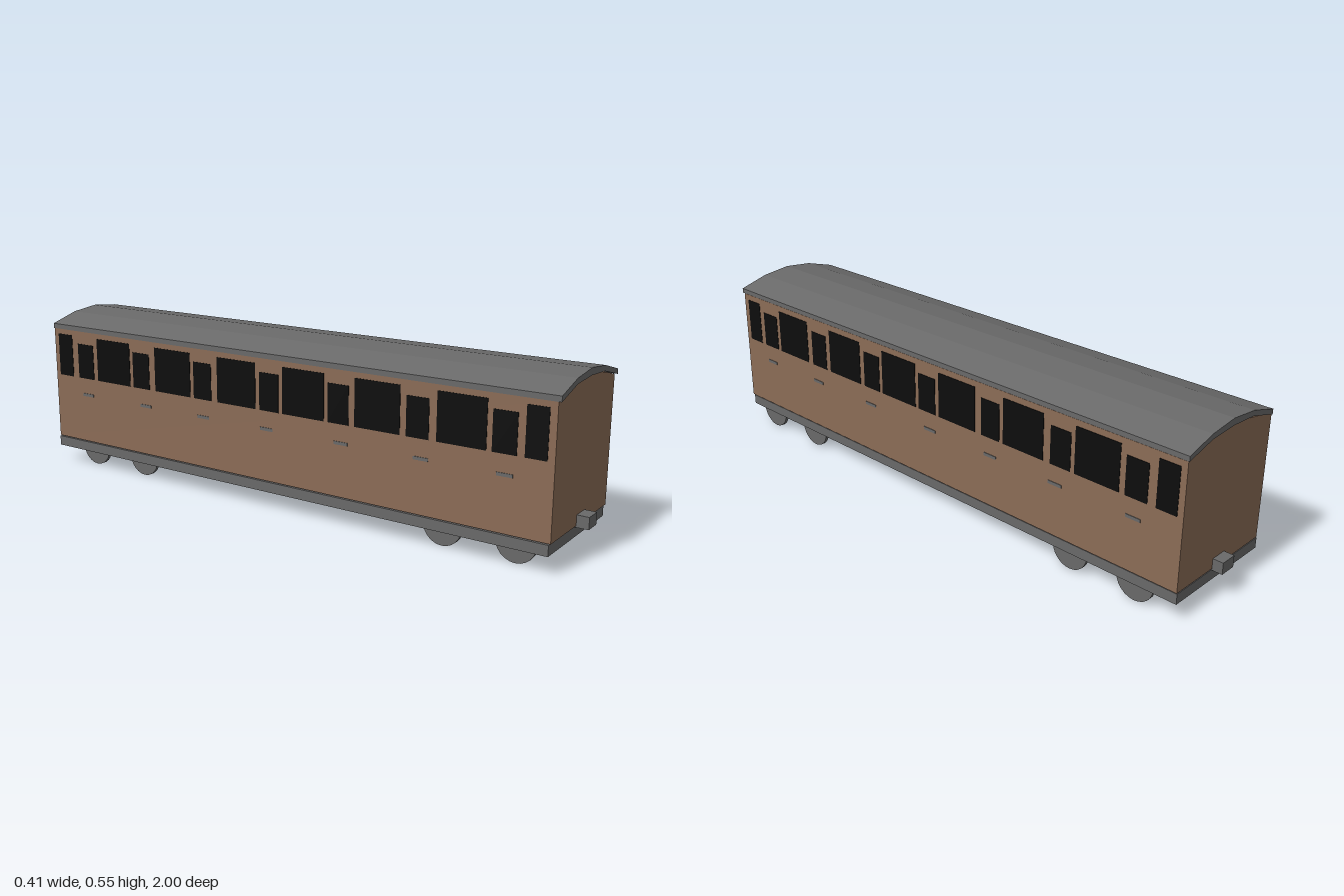
import * as THREE from 'three';

const paint = (name, color) => {
  const m = new THREE.MeshStandardMaterial({ color });
  m.name = name;
  return m;
};

export function createModel() {
  const wood = paint('brown wood', 0x8b6c56);
  const metal = paint('grey metal', 0x696969);
  const glass = paint('black glass', 0x0d0d0d);
  const model = new THREE.Group();
  model.name = 'railwayCarriage';

  const add = (name, geometry, material) => {
    const mesh = new THREE.Mesh(geometry, material);
    mesh.name = name;
    model.add(mesh);
    return mesh;
  };
  // Box given by its lower and upper limits on each axis
  const box = (name, [x0, x1], [y0, y1], [z0, z1], material) =>
    add(name, new THREE.BoxGeometry(x1 - x0, y1 - y0, z1 - z0), material)
      .position.set((x0 + x1) / 2, (y0 + y1) / 2, (z0 + z1) / 2);
  // Cross-section in x and y drawn out along z
  const extrude = (name, points, z0, z1, material) => {
    const shape = new THREE.Shape(points.map(([x, y]) => new THREE.Vector2(x, y)));
    const geometry = new THREE.ExtrudeGeometry(shape, { depth: z1 - z0, bevelEnabled: false });
    add(name, geometry, material).position.z = z0;
  };

  // Coach body with an arched top
  extrude('body', [
    [-0.205, 0.095], [0.204, 0.095], [0.204, 0.497], [0.135, 0.515], [0.07, 0.526],
    [0, 0.53], [-0.07, 0.526], [-0.135, 0.514], [-0.205, 0.495],
  ], -0.966, 0.962, wood);

  // Faceted roof
  extrude('roof', [
    [-0.206, 0.495], [-0.1, 0.525], [0, 0.531], [0.1, 0.525], [0.205, 0.498],
    [0.205, 0.514], [0.102, 0.542], [0, 0.553], [-0.102, 0.542], [-0.206, 0.512],
  ], -0.969, 0.971, metal);

  // Underframe and couplers
  box('underframe', [-0.207, 0.202], [0.058, 0.092], [-0.966, 0.957], metal);
  box('frontCoupler', [-0.025, 0.032], [0.09, 0.128], [0.95, 1], metal);
  box('rearCoupler', [-0.025, 0.032], [0.09, 0.128], [-1, -0.95], metal);

  // Wheels
  const wheel = new THREE.CylinderGeometry(0.064, 0.064, 0.012, 24).rotateZ(Math.PI / 2);
  for (const x of [-0.16, 0.187])
    for (const z of [0.843, 0.608, -0.584, -0.82])
      add('wheel', wheel, metal).position.set(x, 0.064, z);

  // Windows and door handles on both sides: [centre z, width]
  const tall = [[0.907, 0.066], [-0.912, 0.068]];
  for (const z of [0.68, 0.402, 0.134, -0.129, -0.402, -0.676]) tall.push([z, 0.157]);
  const doors = [0.813, 0.539, 0.265, 0.003, -0.271, -0.545, -0.812];
  const handles = [0.817, 0.552, 0.275, -0.008, -0.27, -0.528, -0.807];
  for (const [name, x] of [['left', 0.203], ['right', -0.204]]) {
    const plate = (part, z, width, y0, y1, thick, material) =>
      box(name + part, [x - thick / 2, x + thick / 2], [y0, y1], [z - width / 2, z + width / 2], material);
    for (const [z, width] of tall) plate('Window', z, width, 0.327, 0.477, 0.005, glass);
    for (const z of doors) plate('DoorWindow', z, 0.075, 0.327, 0.45, 0.005, glass);
    for (const z of handles) plate('DoorHandle', z, 0.05, 0.262, 0.272, 0.006, metal);
  }
  return model;
}
